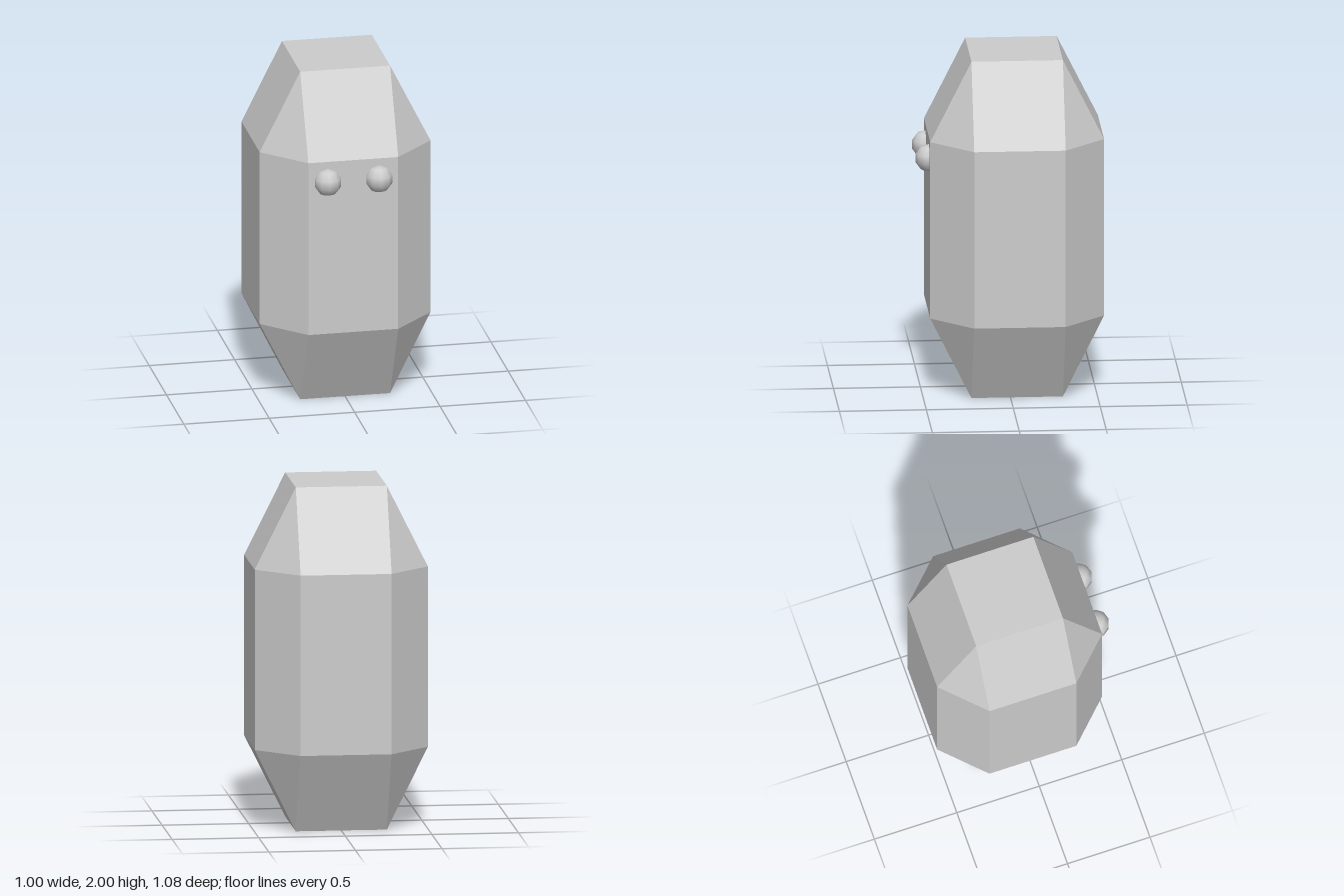
import * as THREE from 'three';
import { ConvexGeometry } from 'three/addons/geometries/ConvexGeometry.js';

export function createModel() {
  const model = new THREE.Group();
  const grey = { color: 0xcccccc };
  const outer = 0.5, inner = 0.263, bodyZ = -0.0385;

  // Body: square ends joined to an octagonal middle, all flat facets
  const corners = [];
  for (const sx of [-1, 1]) for (const sz of [-1, 1]) {
    for (const y of [0, 2]) corners.push(new THREE.Vector3(sx * inner, y, sz * inner));
    for (const y of [0.477, 1.526]) {
      corners.push(new THREE.Vector3(sx * outer, y, sz * inner));
      corners.push(new THREE.Vector3(sx * inner, y, sz * outer));
    }
  }
  const body = new THREE.Mesh(
    new ConvexGeometry(corners),
    new THREE.MeshStandardMaterial({ ...grey, flatShading: true })
  );
  body.name = 'body';
  body.position.z = bodyZ;
  model.add(body);

  // Eyes: low-poly smooth balls half sunk into the front face
  const eyeGeometry = new THREE.SphereGeometry(0.081, 10, 5).rotateY(Math.PI / 2);
  const eyeMaterial = new THREE.MeshStandardMaterial(grey);
  for (const side of [-1, 1]) {
    const eye = new THREE.Mesh(eyeGeometry, eyeMaterial);
    eye.name = side > 0 ? 'leftEye' : 'rightEye';
    eye.position.set(side * 0.15, 1.403, bodyZ + outer);
    model.add(eye);
  }
  return model;
}
